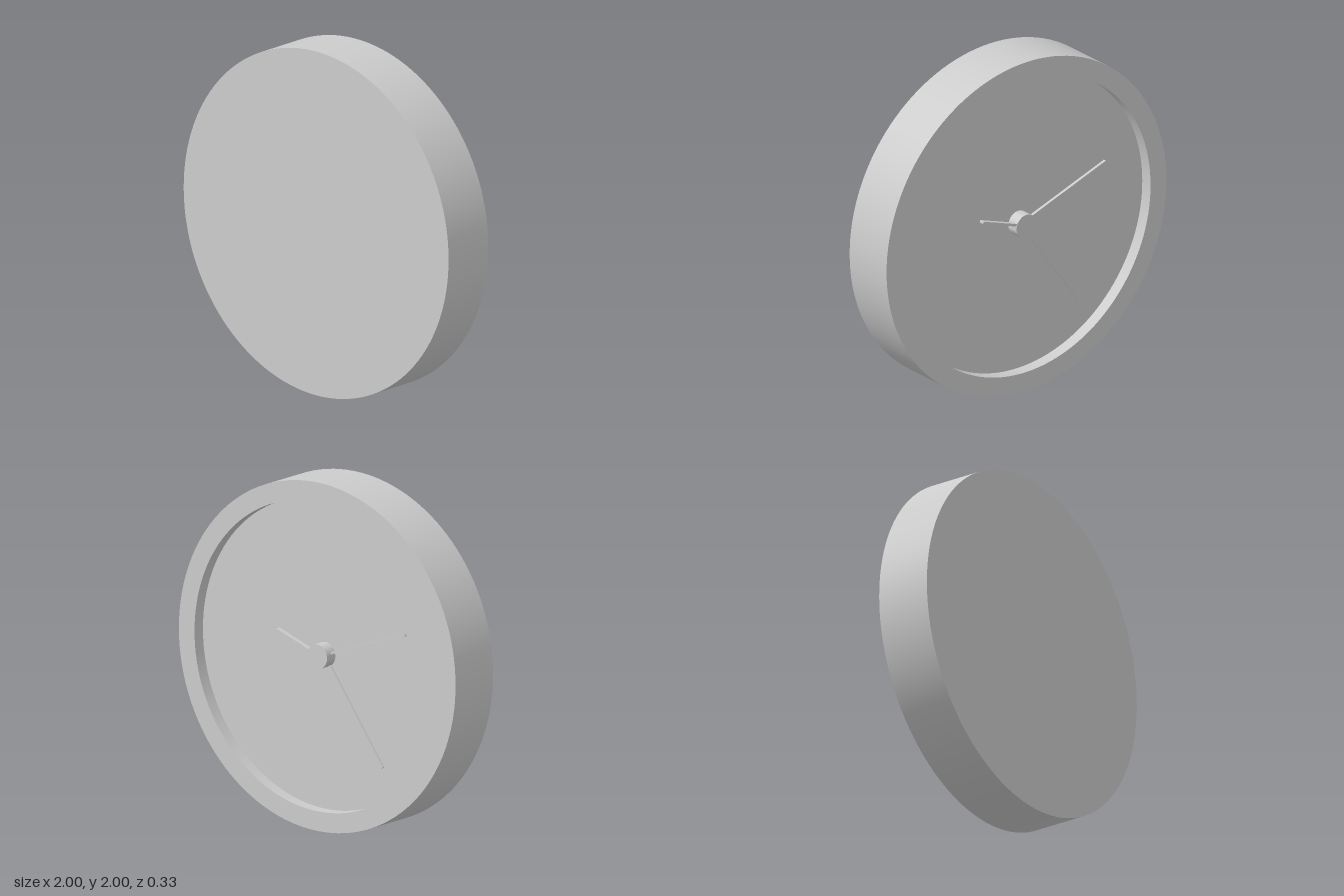
import * as THREE from 'three';
import { toCreasedNormals } from 'three/addons/utils/BufferGeometryUtils.js';

const HALF = 0.163; // half the case depth
const FLOOR = 0.09; // distance of the dial behind the centre plane

export function createModel() {
  const clock = new THREE.Group();
  clock.name = 'wallClock';
  const grey = new THREE.MeshStandardMaterial({ color: 0xcccccc });

  const add = (name, geometry) => {
    const mesh = new THREE.Mesh(geometry, grey);
    mesh.name = name;
    clock.add(mesh);
    return mesh;
  };

  // Round solid of revolution whose profile height runs towards -z
  const turned = (profile, segments) => {
    const points = profile.map(([r, h]) => new THREE.Vector2(r, h));
    const lathe = new THREE.LatheGeometry(points, segments).rotateX(-Math.PI / 2);
    return toCreasedNormals(lathe, Math.PI / 5);
  };

  // Case: flat on one side, raised rim around a recessed dial on the other
  add('caseAndDial', turned([
    [0, -HALF], [1, -HALF], [1, HALF], [0.887, HALF], [0.887, FLOOR], [0, FLOOR],
  ], 128)).position.y = 1;

  // Central hub carrying the hands
  add('hub', turned([[0.07, FLOOR - 0.01], [0.07, HALF - 0.001], [0, HALF - 0.001]], 48)).position.y = 1;

  // Slim hands: tip position on the dial, height z, width and thickness
  const hands = [
    ['hourHand', 0.304, 0.105, -0.143, 0.014, 0.03],
    ['minuteHand', -0.6, 0.212, -0.117, 0.013, 0.018],
    ['secondHand', -0.423, -0.58, -0.102, 0.014, 0.014],
  ];
  for (const [name, x, y, z, width, thickness] of hands) {
    const length = Math.hypot(x, y);
    const bar = new THREE.BoxGeometry(length, width, thickness).translate(length / 2, 0, 0);
    const hand = add(name, bar);
    hand.position.set(0, 1, z);
    hand.rotation.z = Math.atan2(y, x);
  }
  return clock;
}
